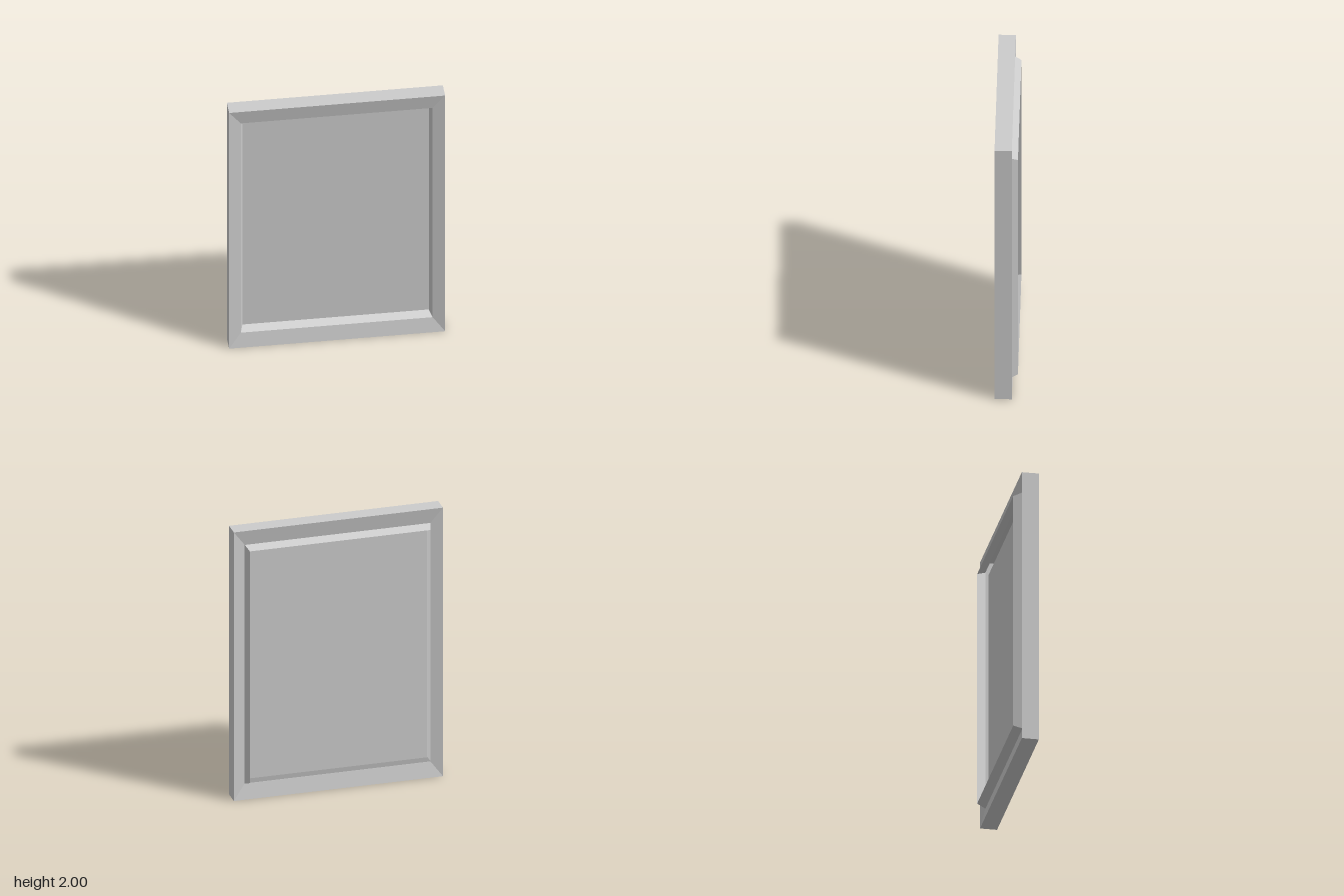
import * as THREE from 'three';

const HALF_W = 0.743, HALF_H = 1;

// Corners of a centred rectangle, scaled from the outer outline, counter-clockwise from the front
const ring = ([s, z]) => [[-1, -1], [1, -1], [1, 1], [-1, 1]].map(
  ([x, y]) => [x * HALF_W * s, HALF_H + y * HALF_H * s, z]);

// Joins successive rectangular rings with mitred flat bands
function bands(profile) {
  const pos = [];
  for (let i = 0; i < profile.length - 1; i++) {
    const a = ring(profile[i]), b = ring(profile[i + 1]);
    for (let k = 0; k < 4; k++) {
      const n = (k + 1) % 4;
      pos.push(...a[k], ...a[n], ...b[n], ...a[k], ...b[n], ...b[k]);
    }
  }
  const geo = new THREE.BufferGeometry();
  geo.setAttribute('position', new THREE.Float32BufferAttribute(pos, 3));
  geo.computeVertexNormals();
  return geo;
}

export function createModel() {
  const group = new THREE.Group();
  const material = new THREE.MeshStandardMaterial({
    color: 0xcccccc, flatShading: true, side: THREE.DoubleSide });
  const add = (name, geo) => {
    const mesh = new THREE.Mesh(geo, material);
    mesh.name = name;
    group.add(mesh);
    return mesh;
  };

  // Profile points are [scale of outline, z]
  const panelEdge = [0.863, 0], frontInner = [0.888, 0.058], frontOuter = [1, 0.079];
  const backOuter = [1, -0.039], backInner = [0.888, -0.018], lipEdge = [0.863, -0.079];

  // Hollow frame with faces sloping towards the opening, front and back
  add('frame', bands([backInner, backOuter, frontOuter, frontInner]));
  // Tapered wall of the front recess
  add('frontRecessWall', bands([frontInner, panelEdge]));
  // Open lip standing out behind the frame
  add('backLip', bands([lipEdge, backInner]));
  // Flat sheet inside the frame
  const panel = add('panel', new THREE.PlaneGeometry(
    2 * HALF_W * panelEdge[0], 2 * HALF_H * panelEdge[0]));
  panel.position.set(0, HALF_H, panelEdge[1]);

  return group;
}
